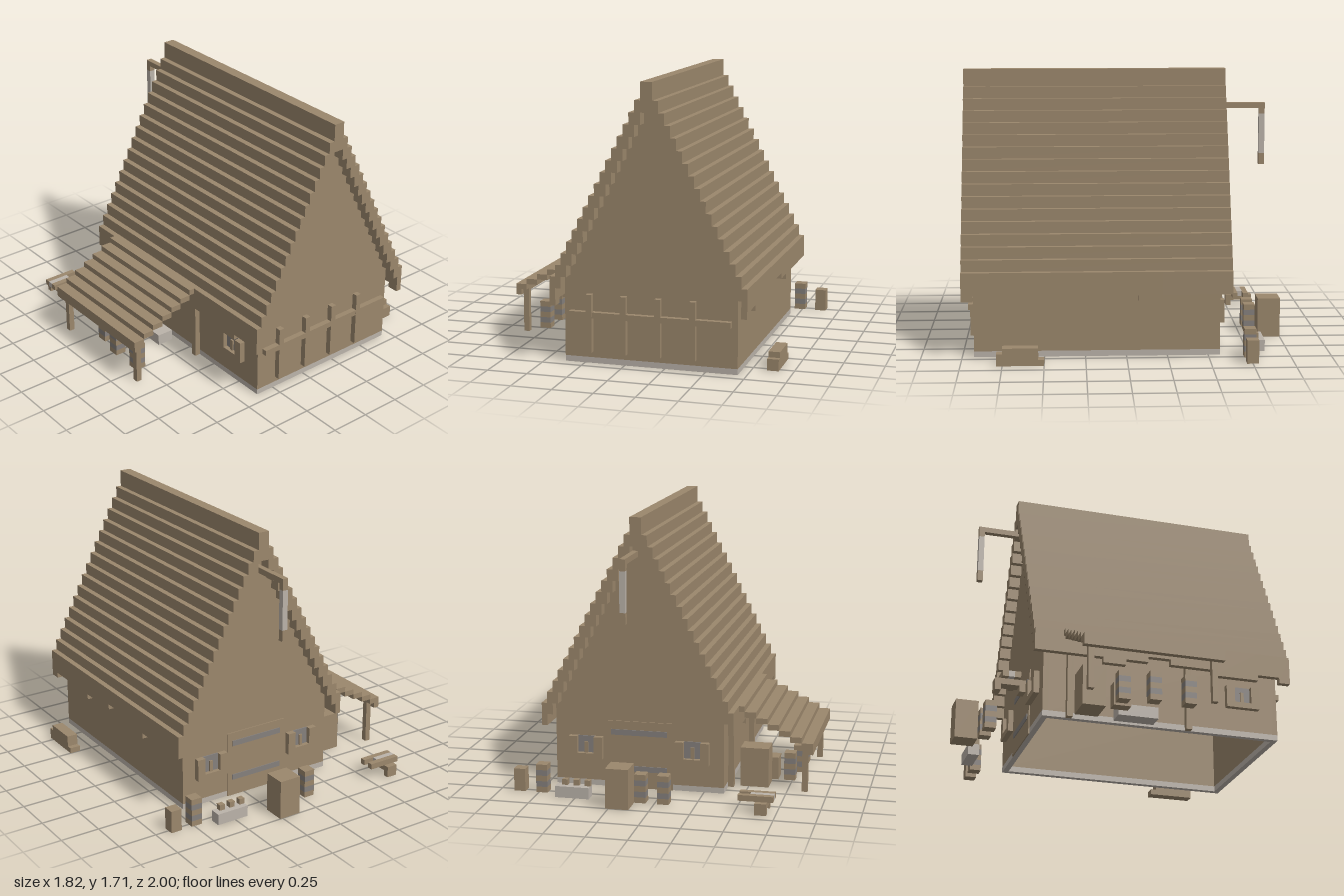
import * as THREE from 'three';

const V = 1 / 28; // one block
const wood = new THREE.MeshStandardMaterial({ name: 'wood', color: 0x9b876c });
const stone = new THREE.MeshStandardMaterial({ name: 'lightStone', color: 0xbbb3aa });
const iron = new THREE.MeshStandardMaterial({ name: 'darkIron', color: 0x85807d });

// Box given by its limits, measured in blocks
function box(parent, name, mat, x0, x1, y0, y1, z0, z1) {
  const m = new THREE.Mesh(new THREE.BoxGeometry((x1 - x0) * V, (y1 - y0) * V, (z1 - z0) * V), mat);
  m.position.set((x0 + x1) / 2 * V, (y0 + y1) / 2 * V, (z0 + z1) / 2 * V);
  m.name = name;
  parent.add(m);
  return m;
}

function part(parent, name) {
  const g = new THREE.Group();
  g.name = name;
  parent.add(g);
  return g;
}

const CX = 4.5; // ridge line of the house

function gable(parent, name, z0) {
  // stepped outline, one step for each roof course
  const right = [[15, 1], [15, 15]];
  for (let j = 14; j >= 1; j--) right.push([j, 43 - 2 * j], [j, 45 - 2 * j]);
  const left = right.map(([x, y]) => [-x, y]).reverse();
  const shape = new THREE.Shape([...right, ...left].map(([x, y]) => new THREE.Vector2((CX + x) * V, y * V)));
  const m = new THREE.Mesh(new THREE.ExtrudeGeometry(shape, { depth: V, bevelEnabled: false }), wood);
  m.position.z = z0 * V;
  m.name = name;
  parent.add(m);
}

// Square barrel, with hoops if it is five blocks tall
function barrel(parent, x, z, h = 5) {
  const g = part(parent, 'barrel');
  for (let y = 0; y < h; y++) {
    box(g, y % 2 ? 'hoop' : 'staves', y % 2 && h === 5 ? iron : wood, x, x + 2, y, y + 1, z, z + 2);
  }
}

// Window on a wall facing +z, centred on x = 0
function makeWindow(parent) {
  const g = part(parent, 'window');
  box(g, 'pane', iron, -1.5, 1.5, 6, 9, 0, 0.2);
  box(g, 'sill', wood, -3, 3, 5, 6, 0, 1);
  for (const s of [-1, 1]) box(g, 'shutter', wood, s * 2.25 - 0.75, s * 2.25 + 0.75, 6, 9, 0, 1);
  box(g, 'mullion', wood, -0.3, 0.3, 6, 8, 0, 0.5);
  return g;
}

export function createModel() {
  const model = new THREE.Group();
  model.name = 'house';

  // Walls and stone footing
  const walls = part(model, 'walls');
  gable(walls, 'frontGable', 25);
  gable(walls, 'backGable', -16);
  for (const x of [-10.5, 18.5]) {
    box(walls, 'sideWall', wood, x, x + 1, 1, 15, -15, 25);
    box(walls, 'sideFooting', stone, x, x + 1, 0, 1, -15, 25);
  }
  for (const z of [25, -16]) box(walls, 'endFooting', stone, -10.5, 19.5, 0, 1, z, z + 1);

  // Stepped roof with ragged eaves
  const roof = part(model, 'roof');
  box(roof, 'ridge', wood, 3.5, 5.5, 45, 48, -18, 28);
  const eaves = [[-18, -6, 11], [-6, -2, 10], [-2, 2, 11], [2, 6, 12], [6, 14, 11], [14, 22, 10], [22, 26, 11], [26, 28, 10]];
  for (const s of [-1, 1]) {
    const course = (name, a, b, y0, y1, z0 = -18, z1 = 28) =>
      box(roof, name, wood, CX + Math.min(s * a, s * b), CX + Math.max(s * a, s * b), y0, y1, z0, z1);
    for (let j = 0; j < 15; j++) course('roofCourse', j, j + 2, 43 - 2 * j, 45 - 2 * j);
    course('lowerCourse', 15, 16, 13, 15);
    for (const [z0, z1, y] of eaves) course('eave', 16, 17, y, 15, z0, z1);
  }

  // Timber frame on the front
  const frame = part(model, 'frontTimbers');
  for (const x of [-6.5, -0.5, 5.5, 11.5]) box(frame, 'upright', wood, x, x + 1, 2, 12, 26, 27);
  box(frame, 'rail', wood, -9.5, 18.5, 8, 9, 26, 26.98);

  // Back door with iron straps
  const door = part(model, 'door');
  box(door, 'doorPanel', wood, -1.5, 10.5, 0, 12, -16.2, -16);
  for (const y of [3, 9.5]) box(door, 'strap', iron, -0.5, 9.5, y, y + 1, -16.35, -16.2);

  // Windows
  for (const x of [-5, 14]) {
    const w = makeWindow(model);
    w.position.set(x * V, 0, -16 * V);
    w.rotation.y = Math.PI;
  }
  const sideWindow = makeWindow(model);
  sideWindow.position.set(-10.5 * V, 0, 19.5 * V);
  sideWindow.rotation.y = -Math.PI / 2;

  // Hoist beam, chain and bucket
  const hoist = part(model, 'hoist');
  box(hoist, 'hoistBeam', wood, 4.5, 5.5, 41, 42, -25, -16);
  box(hoist, 'hook', wood, 4.5, 5.5, 40, 41, -25, -24);
  box(hoist, 'chain', stone, 4.5, 5.5, 33, 40, -25, -24);
  box(hoist, 'bucket', wood, 4.5, 5.5, 31, 33, -25, -24);

  // Lean-to on the right side
  const leanTo = part(model, 'leanTo');
  for (let i = 0; i < 7; i++) box(leanTo, 'leanToStep', wood, -25.5 + 2 * i, -23.5 + 2 * i, 8 + i, 9 + i, -13, 11);
  box(leanTo, 'leanToEave', wood, -25.5, -24.5, 7, 8, -13, 11);
  for (const z of [-12, 9]) {
    box(leanTo, 'outerPost', wood, -24.5, -23.5, 0, 8, z, z + 1);
    box(leanTo, 'wallPost', wood, -11.5, -10.5, 0, 13, z, z + 1);
  }

  // Things kept under the lean-to
  const store = part(model, 'store');
  box(store, 'chest', wood, -17.5, -12.5, 0, 7, -11, -7);
  box(store, 'crate', wood, -18.5, -16.5, 0, 4, -6, -3);
  box(store, 'stoneBasin', stone, -14.5, -11.5, 0, 2, -4, 3);
  barrel(store, -21.5, -6);
  barrel(store, -22.5, -1);
  barrel(store, -22.5, 5);

  // Yard behind the house
  const yard = part(model, 'yard');
  barrel(yard, -2.5, -24);
  barrel(yard, 1.5, -24);
  barrel(yard, 19.5, -22);
  barrel(yard, 23.5, -22, 4);
  box(yard, 'cabinet', wood, 3.5, 7.5, 0, 7, -28, -24);
  box(yard, 'trough', stone, 11.5, 17.5, 0, 2, -24, -22);
  for (const x of [11.5, 13.5, 15.5]) box(yard, 'troughBlock', wood, x, x + 1, 2, 3, -23, -22);

  // Handcart
  const cart = part(model, 'handcart');
  for (const z of [-25, -23]) box(cart, 'handle', wood, -20.5, -14.5, 2, 3, z, z + 1);
  box(cart, 'load', stone, -20.5, -16.5, 2, 3, -24, -23);
  for (const z of [-26, -22]) box(cart, 'wheel', wood, -19.5, -17.5, 0, 2, z, z + 1);
  box(cart, 'axle', wood, -19.5, -17.5, 1, 2, -25, -22);

  // Log pile beside the left wall
  const logs = part(model, 'logPile');
  box(logs, 'bottomLogs', wood, 23.5, 25.5, 0, 1, 14, 22);
  box(logs, 'middleLogs', wood, 23.5, 25.5, 1, 2, 15, 22);
  box(logs, 'topLogs', wood, 23.5, 25.5, 2, 3, 15, 21);

  return model;
}
